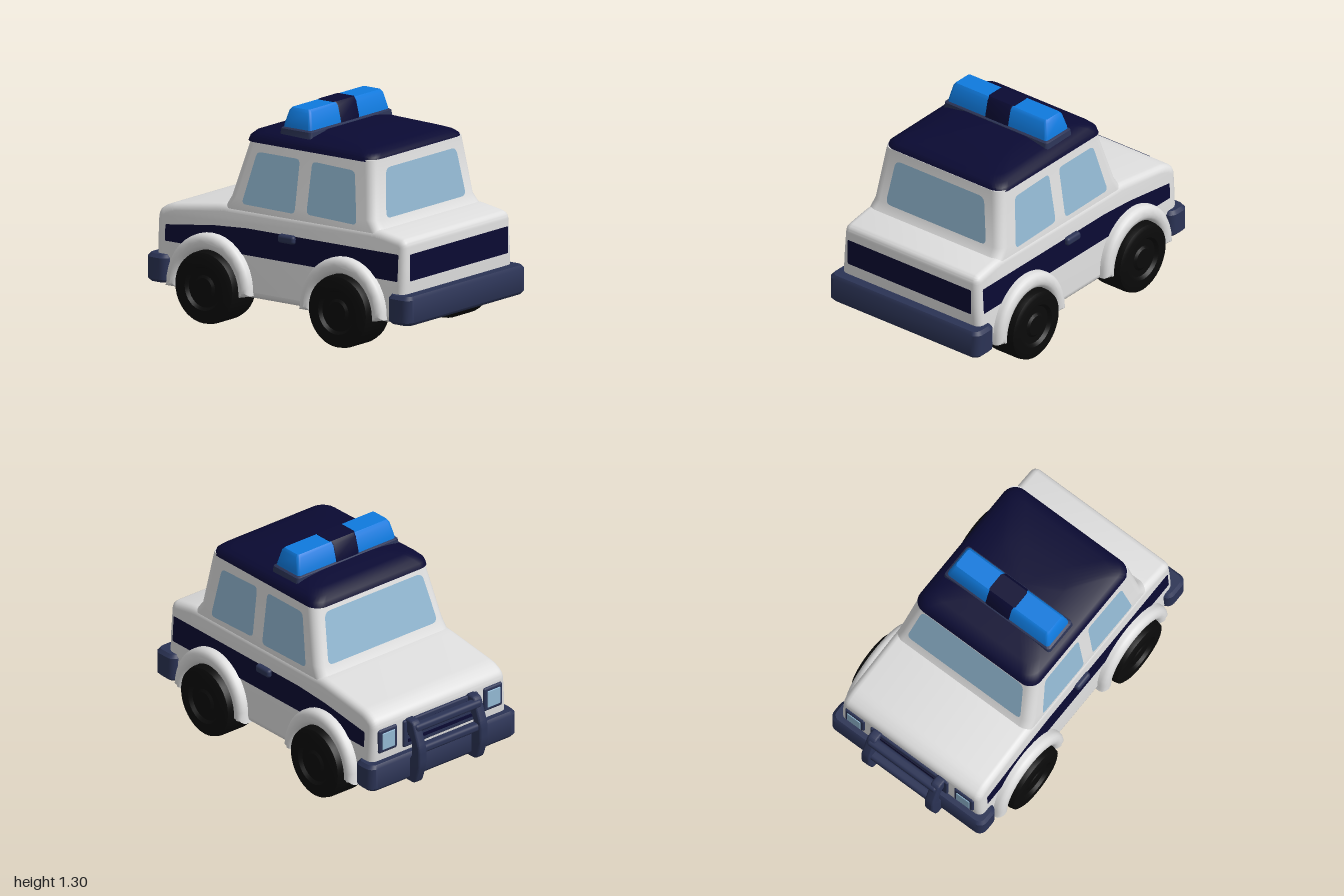
import * as THREE from 'three';
import { toCreasedNormals } from 'three/addons/utils/BufferGeometryUtils.js';
import { RoundedBoxGeometry } from 'three/addons/geometries/RoundedBoxGeometry.js';

const paint = (name, color, side = THREE.FrontSide) => {
  const m = new THREE.MeshStandardMaterial({ color, side });
  m.name = name;
  return m;
};

export function createModel() {
  const car = new THREE.Group();
  car.name = 'patrolCar';
  const white = paint('white', 0xdedede);
  const navy = paint('navy', 0x0a0a33, THREE.DoubleSide);
  const slate = paint('slate', 0x2b3355);
  const blue = paint('lampBlue', 0x0f7ade);
  const glass = paint('glass', 0x93b9d3, THREE.DoubleSide);
  const rubber = paint('rubber', 0x0a0a0a);

  const add = (name, geo, mat, x = 0, y = 0, z = 0) => {
    const mesh = new THREE.Mesh(geo, mat);
    mesh.name = name;
    mesh.position.set(x, y, z);
    car.add(mesh);
    return mesh;
  };

  // Move every vertex by a rule
  const bend = (geo, rule) => {
    const p = geo.attributes.position;
    const v = new THREE.Vector3();
    for (let i = 0; i < p.count; i++) {
      rule(v.fromBufferAttribute(p, i));
      p.setXYZ(i, v.x, v.y, v.z);
    }
    return geo;
  };

  // Polygon with rounded corners
  const roundedShape = (pts, r) => {
    const s = new THREE.Shape();
    const v = pts.map(([x, y]) => new THREE.Vector2(x, y));
    v.forEach((c, i) => {
      const toward = (q) => q.clone().sub(c).setLength(Math.min(r, q.distanceTo(c) * 0.45)).add(c);
      const a = toward(v[(i + v.length - 1) % v.length]);
      const b = toward(v[(i + 1) % v.length]);
      if (i) s.lineTo(a.x, a.y); else s.moveTo(a.x, a.y);
      s.quadraticCurveTo(c.x, c.y, b.x, b.y);
    });
    s.closePath();
    return s;
  };

  // Side profile extruded across z, centred, with rounded edges
  const slab = (shape, width, bevel, rule = () => {}) => {
    const g = new THREE.ExtrudeGeometry(shape, {
      depth: width - 2 * bevel, bevelThickness: bevel, bevelSize: bevel,
      bevelOffset: -bevel, bevelSegments: 4, curveSegments: 10,
    });
    g.translate(0, 0, bevel - width / 2);
    return toCreasedNormals(bend(g, rule), 0.6);
  };

  // Rounded rectangles stacked upward: rows of [y, x0, x1, halfZ, radius]
  const loft = (rows, rule = () => {}) => {
    const pos = [], idx = [], k = 6, n = 4 * (k + 1);
    for (const [y, x0, x1, hz, r] of rows) {
      for (let c = 0; c < 4; c++) {
        const cx = c === 0 || c === 3 ? x1 - r : x0 + r;
        const cz = c < 2 ? hz - r : r - hz;
        for (let i = 0; i <= k; i++) {
          const a = (c + i / k) * Math.PI / 2;
          pos.push(cx + r * Math.cos(a), y, cz + r * Math.sin(a));
        }
      }
    }
    const last = rows.length - 1, base = rows.length * n;
    for (const [y, x0, x1] of [rows[0], rows[last]]) pos.push((x0 + x1) / 2, y, 0);
    for (let j = 0; j < n; j++) {
      const q = (j + 1) % n;
      for (let i = 0; i < last; i++) {
        const a = i * n + j, b = i * n + q;
        idx.push(a, a + n, b, b, a + n, b + n);
      }
      idx.push(base, j, q, base + 1, last * n + q, last * n + j);
    }
    const g = new THREE.BufferGeometry();
    g.setAttribute('position', new THREE.Float32BufferAttribute(pos, 3));
    g.setIndex(idx);
    return toCreasedNormals(bend(g, rule), 0.7);
  };

  // Thin painted panel laid on a surface by a rule
  const panel = (name, pts, r, mat, rule) => {
    const g = bend(new THREE.ShapeGeometry(roundedShape(pts, r), 5), rule);
    g.computeVertexNormals();
    return add(name, g, mat);
  };

  // Lower body with hood and trunk
  const bodyZ = (y) => 0.52 - (y - 0.18) * 0.058;
  const bodyProfile = roundedShape([
    [-0.86, 0.18], [0.92, 0.18], [0.93, 0.45], [0.925, 0.67], [0.72, 0.705],
    [-0.4, 0.7], [-0.8, 0.645], [-0.875, 0.6], [-0.875, 0.4],
  ], 0.045);
  add('body', slab(bodyProfile, 1, 0.04, (v) => { v.z *= bodyZ(v.y) / 0.5; }), white);

  // Cabin and roof
  const cabinZ = (y) => 0.478 - (y - 0.75) * 0.141;
  add('cabin', loft([
    [0.64, -0.44, 0.79, 0.485, 0.06], [0.69, -0.405, 0.735, 0.486, 0.06],
    [0.75, -0.37, 0.69, 0.478, 0.06], [1.09, -0.27, 0.645, 0.43, 0.06],
  ]), white);
  add('roof', loft([
    [1.08, -0.295, 0.645, 0.437, 0.08], [1.11, -0.285, 0.64, 0.43, 0.08],
    [1.135, -0.26, 0.62, 0.405, 0.08], [1.155, -0.2, 0.57, 0.36, 0.08],
    [1.178, -0.04, 0.36, 0.22, 0.1],
  ], (v) => { v.y -= (v.y - 1.08) * 0.4 * Math.max(0, v.x); }), navy);

  // Windshield and rear window
  panel('windshield', [[-0.41, 0.75], [0.41, 0.75], [0.365, 1.045], [-0.365, 1.045]], 0.04, glass,
    (v) => v.set(-0.375 + (v.y - 0.75) * 0.294, v.y, v.x));
  panel('rearWindow', [[0.37, 0.75], [-0.37, 0.75], [-0.325, 1.035], [0.325, 1.035]], 0.04, glass,
    (v) => v.set(0.695 - (v.y - 0.75) * 0.132, v.y, v.x));

  // Side windows, stripes and door handles
  for (const s of [1, -1]) {
    const onCabin = (v) => { v.z = s * (cabinZ(v.y) + 0.005); };
    panel('frontSideWindow', [[-0.265, 0.72], [0.12, 0.715], [0.125, 1.03], [-0.185, 1.03]], 0.03, glass, onCabin);
    panel('rearSideWindow', [[0.205, 0.725], [0.57, 0.715], [0.525, 1.02], [0.215, 1.03]], 0.03, glass, onCabin);
    panel('sideStripe', [[-0.805, 0.43], [0.885, 0.43], [0.885, 0.588], [-0.22, 0.585], [-0.45, 0.57], [-0.805, 0.525]],
      0.008, navy, (v) => { v.z = s * (bodyZ(v.y) + 0.004); });
    add('doorHandle', new RoundedBoxGeometry(0.12, 0.05, 0.05, 3, 0.018), slate, 0.08, 0.565, s * 0.502);
  }
  panel('rearStripe', [[0.455, 0.43], [-0.455, 0.43], [-0.455, 0.588], [0.455, 0.588]], 0.008, navy,
    (v) => v.set(0.934, v.y, v.x));

  // Wheels and fenders
  const tyreProfile = [
    [0, 0.36], [0.19, 0.36], [0.207, 0.37], [0.214, 0.4], [0.214, 0.56], [0.207, 0.588], [0.185, 0.6],
    [0.13, 0.6], [0.115, 0.58], [0.075, 0.58], [0.06, 0.592], [0, 0.592],
  ].map(([r, z]) => new THREE.Vector2(r, z));
  const tyre = toCreasedNormals(new THREE.LatheGeometry(tyreProfile, 40).rotateX(Math.PI / 2), 0.6);
  const arch = new THREE.Shape();
  arch.moveTo(0.31, -0.02);
  arch.absellipse(0, 0, 0.305, 0.325, 0, Math.PI, false);
  arch.lineTo(-0.31, -0.02);
  arch.lineTo(-0.222, -0.02);
  arch.absellipse(0, 0, 0.22, 0.23, Math.PI, 0, true);
  arch.lineTo(0.222, -0.02);
  const fender = slab(arch, 0.2, 0.04, (v) => { v.z *= 1 - Math.max(0, v.y) * 0.3; });
  for (const x of [-0.46, 0.51]) {
    for (const s of [1, -1]) {
      const wheel = add('wheel', tyre, rubber, x, 0.214, 0);
      if (s < 0) wheel.rotation.y = Math.PI;
      add('fender', fender, white, x, 0.2, s * 0.475);
    }
  }

  // Bumpers wrapping the corners
  const bumper = (x0, x1, top) => loft([
    [0.187, x0 + 0.015, x1 - 0.015, 0.535, 0.04], [0.205, x0, x1, 0.553, 0.05],
    [top - 0.02, x0, x1, 0.553, 0.05], [top, x0 + 0.015, x1 - 0.015, 0.535, 0.04],
  ]);
  add('rearBumper', bumper(0.83, 1, 0.357), slate);
  add('frontBumper', bumper(-0.92, -0.765, 0.352), slate);

  // Front guard
  const guardProfile = roundedShape([
    [-0.86, 0.56], [-0.94, 0.56], [-1, 0.4], [-1, 0.29], [-0.96, 0.167], [-0.86, 0.167],
    [-0.86, 0.3], [-0.93, 0.33], [-0.93, 0.43], [-0.86, 0.5],
  ], 0.03);
  for (const s of [1, -1]) add('guardUpright', slab(guardProfile, 0.06, 0.012), slate, 0, 0, s * 0.23);
  add('guardTopBar', new RoundedBoxGeometry(0.06, 0.05, 0.5, 3, 0.02), slate, -0.935, 0.515, 0);
  add('guardLowerBar', new RoundedBoxGeometry(0.06, 0.05, 0.5, 3, 0.02), slate, -0.955, 0.38, 0);

  // Grille and headlights
  add('grille', new RoundedBoxGeometry(0.03, 0.17, 0.56, 2, 0.01), slate, -0.875, 0.465, 0);
  for (const y of [0.42, 0.465, 0.51]) {
    add('grilleSlot', new THREE.BoxGeometry(0.008, 0.02, 0.5), navy, -0.891, y, 0);
  }
  for (const s of [1, -1]) {
    add('headlightFrame', new RoundedBoxGeometry(0.03, 0.15, 0.14, 3, 0.014), slate, -0.873, 0.475, s * 0.395);
    add('headlight', new RoundedBoxGeometry(0.009, 0.105, 0.095, 2, 0.004), glass, -0.889, 0.475, s * 0.395);
  }

  // Light bar
  add('lightBarBase', loft([
    [1.135, -0.075, 0.16, 0.385, 0.02], [1.175, -0.07, 0.155, 0.38, 0.02], [1.183, -0.06, 0.145, 0.37, 0.02],
  ]), slate);
  const lamp = (hz, taper, grow) => loft([
    [1.17, -0.062 - grow, 0.145 + grow, hz, 0.02], [1.2, -0.058 - grow, 0.14 + grow, hz - taper * 0.15, 0.02],
    [1.28, -0.035 - grow, 0.12 + grow, hz - taper * 0.8, 0.02],
    [1.297 + grow, -0.02, 0.105, hz - taper * 1.3, 0.015],
  ]);
  add('lamps', lamp(0.368, 0.025, 0), blue);
  add('lampDivider', lamp(0.094, 0, 0.003), navy);

  return car;
}
